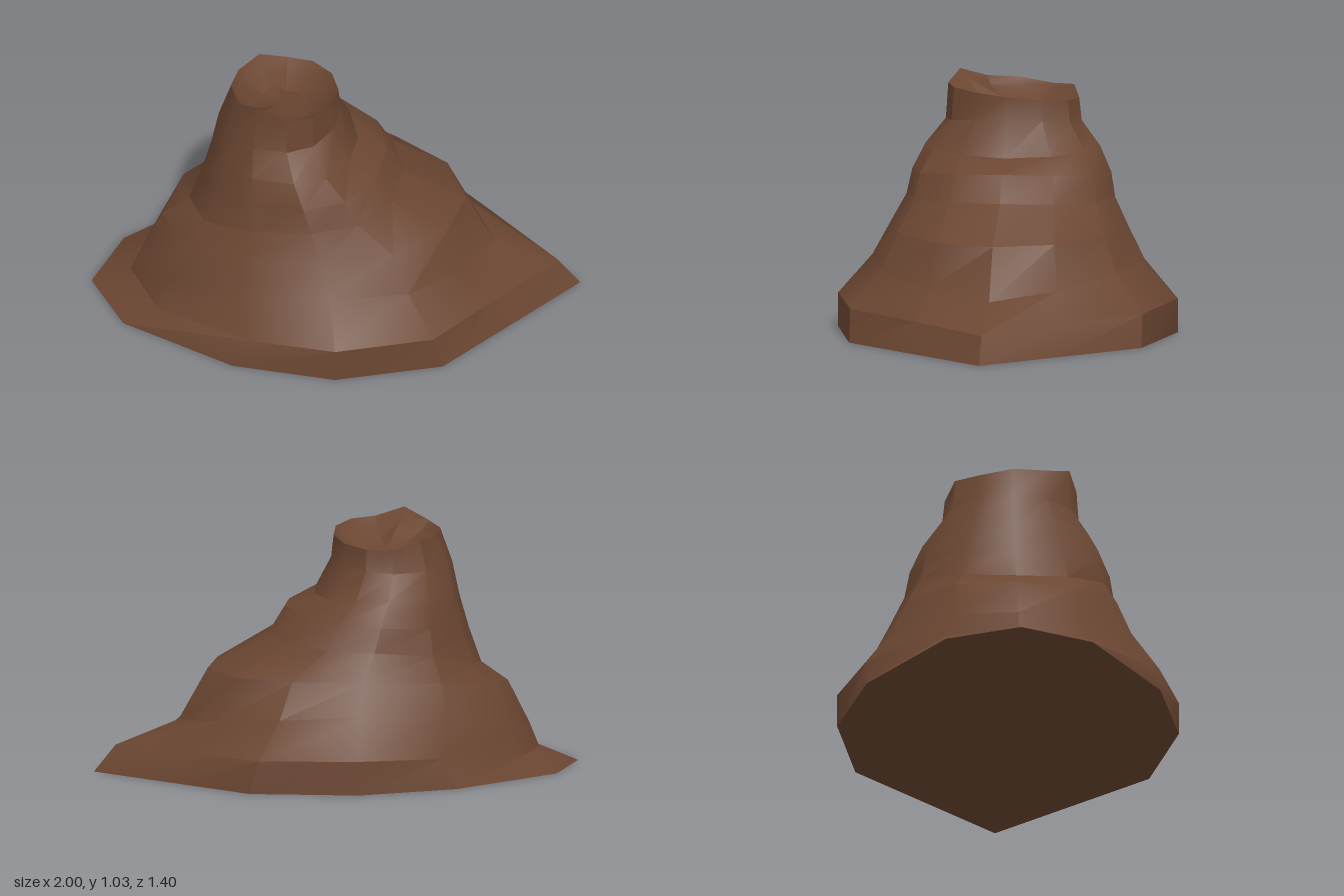
import * as THREE from 'three';
import { toCreasedNormals } from 'three/addons/utils/BufferGeometryUtils.js';

// Half outlines from the right tip round to the left tip: [x, z] as unit fractions
const BASE = [[1, 0], [0.72, 0.43], [0.44, 0.86], [0, 1], [-0.42, 0.86], [-0.87, 0.43], [-1, 0]];
const ROUND = [[1, 0], [0.87, 0.5], [0.5, 0.87], [0, 1], [-0.5, 0.87], [-0.87, 0.5], [-1, 0]];
const SIDES = 12;

// Each ring: right x, y | left x, y | half depth, its y | middle x | roundness 0..1
const RINGS = [
  [1.00, 0.00, -1.00, 0.00, 0.70, 0.00, 0.00, 0],
  [0.91, 0.11, -0.84, 0.06, 0.70, 0.14, 0.00, 0],
  [0.65, 0.21, -0.80, 0.16, 0.56, 0.30, -0.02, 0.6],
  [0.53, 0.42, -0.71, 0.34, 0.49, 0.43, -0.05, 1],
  [0.28, 0.56, -0.60, 0.42, 0.43, 0.54, -0.10, 1],
  [0.21, 0.67, -0.55, 0.56, 0.41, 0.64, -0.13, 1],
  [0.09, 0.72, -0.51, 0.70, 0.36, 0.74, -0.17, 1],
  [0.02, 0.87, -0.48, 0.84, 0.28, 0.84, -0.20, 1],
  [0.01, 0.96, -0.43, 0.98, 0.27, 0.96, -0.20, 1],
];

function ringPoints([xr, yr, xl, yl, depth, ys, xm, round]) {
  return Array.from({ length: SIDES }, (_, j) => {
    const i = j <= 6 ? j : SIDES - j;
    const u = THREE.MathUtils.lerp(BASE[i][0], ROUND[i][0], round);
    const w = THREE.MathUtils.lerp(BASE[i][1], ROUND[i][1], round) * (j <= 6 ? 1 : -1);
    const x = xm + u * (u > 0 ? xr - xm : xm - xl);
    const y = ys + ((u > 0 ? yr : yl) - ys) * u * u;
    return new THREE.Vector3(x, y, w * depth);
  });
}

function buildMound() {
  const rings = RINGS.map(ringPoints);

  // Tilted rim with two raised lumps
  const rim = rings[rings.length - 1];
  rim.forEach((p) => { p.y += 0.1 * p.z; });
  rim[4].y += 0.04;
  rim[8].y += 0.03;

  // Shallow hollow inside the rim
  const middle = new THREE.Vector3(-0.21, 0.9, 0);
  for (const [scale, drop] of [[0.86, 0.035], [0.5, 0.075]]) {
    rings.push(rim.map((p) => new THREE.Vector3(
      middle.x + (p.x - middle.x) * scale, p.y - drop, p.z * scale)));
  }

  const positions = [];
  const tri = (...corners) => corners.forEach((p) => positions.push(p.x, p.y, p.z));
  const bottom = new THREE.Vector3(0, 0, 0);
  const last = rings[rings.length - 1];
  for (let j = 0; j < SIDES; j++) {
    const n = (j + 1) % SIDES;
    tri(bottom, rings[0][j], rings[0][n]);
    for (let k = 0; k < rings.length - 1; k++) {
      const a = rings[k], b = rings[k + 1];
      tri(a[j], b[j], a[n]);
      tri(a[n], b[j], b[n]);
    }
    tri(middle, last[n], last[j]);
  }
  const geometry = new THREE.BufferGeometry();
  geometry.setAttribute('position', new THREE.Float32BufferAttribute(positions, 3));
  return toCreasedNormals(geometry, 0.55);
}

export function createModel() {
  const group = new THREE.Group();
  group.name = 'rockMound';
  const mound = new THREE.Mesh(buildMound(), new THREE.MeshStandardMaterial({ color: 0x6b4632 }));
  mound.name = 'mound';
  group.add(mound);
  return group;
}
